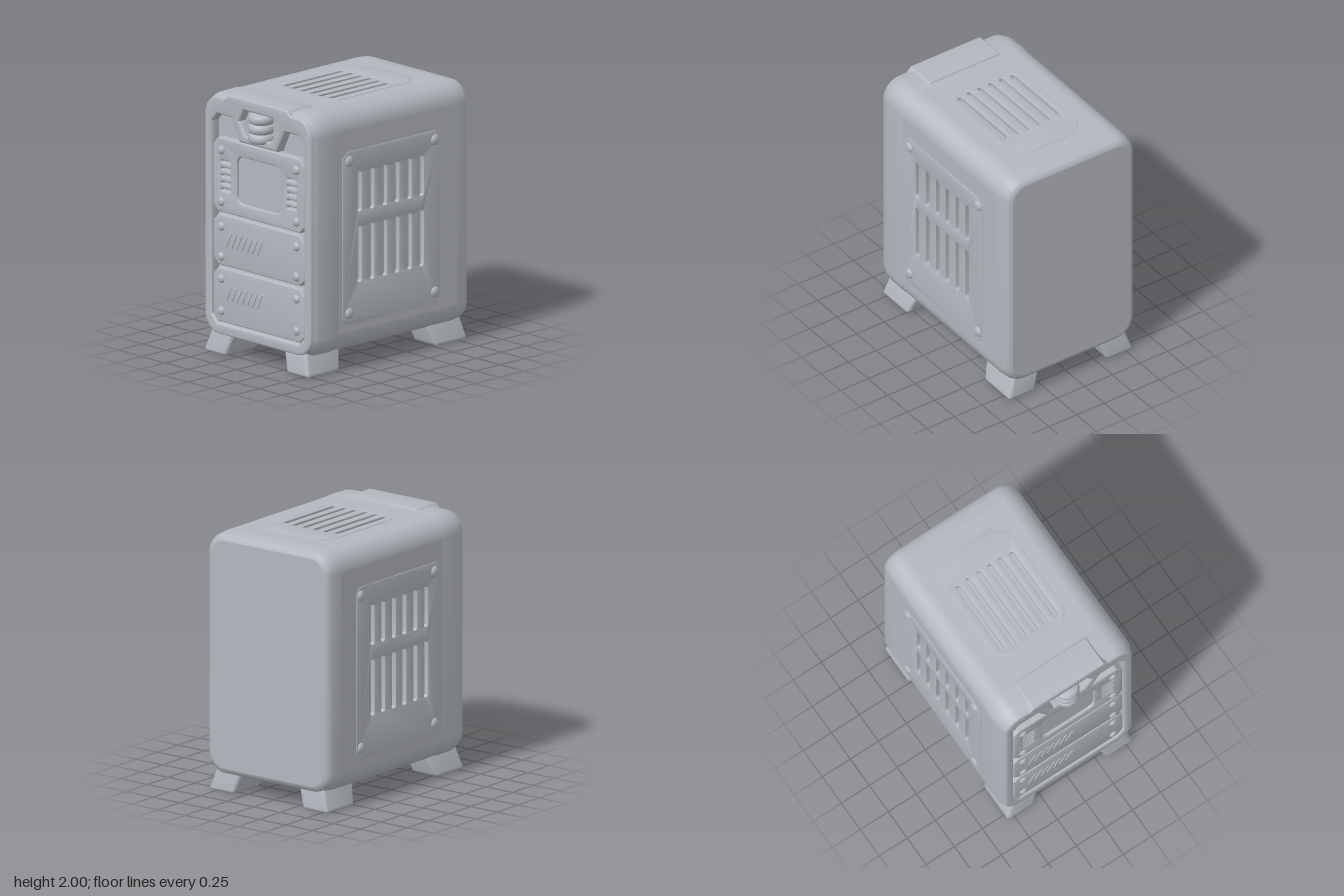
import * as THREE from 'three';
import { toCreasedNormals } from 'three/addons/utils/BufferGeometryUtils.js';
import { RoundedBoxGeometry } from 'three/addons/geometries/RoundedBoxGeometry.js';

const casing = new THREE.MeshStandardMaterial({ color: 0xb3b7be });
casing.name = 'casingGrey';

const HW = 0.585, Y0 = 0.13, Y1 = 1.985, R = 0.16;
const CY = (Y0 + Y1) / 2, HH = (Y1 - Y0) / 2;
const N = 10; // segments per body corner

// Rounded body outline, counter-clockwise, shrunk by an inset
function outline(inset) {
  const pts = [], r = R - inset * 0.6, w = HW - inset, h = HH - inset;
  [[1, 1], [-1, 1], [-1, -1], [1, -1]].forEach(([sx, sy], q) => {
    for (let i = 0; i <= N; i++) {
      const a = (q + i / N) * Math.PI / 2;
      pts.push(new THREE.Vector2(sx * (w - r) + r * Math.cos(a), CY + sy * (h - r) + r * Math.sin(a)));
    }
  });
  return pts;
}

const poly = (pts) => new THREE.Shape(pts.map(([x, y]) => new THREE.Vector2(x, y)));

// Rectangle with cut corners
function chamfered(x0, y0, x1, y1, c) {
  return poly([[x0 + c, y0], [x1 - c, y0], [x1, y0 + c], [x1, y1 - c],
    [x1 - c, y1], [x0 + c, y1], [x0, y1 - c], [x0, y0 + c]]);
}

// Rectangle with round corners; the radius defaults to a full slot end
function rounded(cx, cy, w, h, r = Math.min(w, h) / 2) {
  const s = new THREE.Shape(), a = w / 2 - r, b = h / 2 - r;
  s.absarc(cx + a, cy + b, r, 0, Math.PI / 2);
  s.absarc(cx - a, cy + b, r, Math.PI / 2, Math.PI);
  s.absarc(cx - a, cy - b, r, Math.PI, Math.PI * 1.5);
  s.absarc(cx + a, cy - b, r, Math.PI * 1.5, Math.PI * 2);
  return s;
}

// Extrusion between two depths with softened edges
function slab(shape, z0, z1, bevel = 0, holes = []) {
  shape.holes = holes;
  const g = new THREE.ExtrudeGeometry(shape, {
    depth: z1 - z0 - 2 * bevel, bevelEnabled: bevel > 0, bevelSize: bevel,
    bevelThickness: bevel, bevelOffset: -bevel, bevelSegments: 3, curveSegments: 6,
  });
  return toCreasedNormals(g.translate(0, 0, z0 + bevel), 0.6);
}

// Body skin lofted along z; flat walls of the main span are left for the vented plates
const STATIONS = [[-0.835, 0.055], [-0.827, 0.034], [-0.81, 0.018], [-0.78, 0.007], [-0.7, 0],
  [0.51, 0], [0.54, -0.005], [0.7, -0.003], [0.735, 0.006], [0.765, 0.02]];
const ZB = -0.7, ZF = 0.51;
function skin() {
  const pos = [], idx = [], rings = STATIONS.map(([, inset]) => outline(inset));
  const n = rings[0].length;
  rings.forEach((ring, i) => ring.forEach((p) => pos.push(p.x, p.y, STATIONS[i][0])));
  for (let i = 0; i < rings.length - 1; i++) {
    for (let j = 0; j < n; j++) {
      if (STATIONS[i][0] === ZB && j % (N + 1) === N) continue;
      const k = (j + 1) % n, a = i * n + j, b = i * n + k;
      idx.push(a, b, b + n, a, b + n, a + n);
    }
  }
  const g = new THREE.BufferGeometry();
  g.setAttribute('position', new THREE.Float32BufferAttribute(pos, 3));
  g.setIndex(idx);
  return toCreasedNormals(g, 0.7);
}

export function createModel() {
  const model = new THREE.Group();
  const add = (name, geo, parent = model) => {
    const m = new THREE.Mesh(geo, casing);
    m.name = name;
    parent.add(m);
    return m;
  };

  // Body
  add('bodySkin', skin());
  add('innerCore', slab(new THREE.Shape(outline(0.03)), -0.8, 0.71));
  add('backWall', new THREE.ShapeGeometry(new THREE.Shape(outline(0.055))).rotateY(Math.PI).translate(0, 0, -0.835));

  // Side walls with two rows of vents, a shallow raised panel and four bolts
  for (const s of [1, -1]) {
    const vents = () => [0.307, 0.178, 0.048, -0.076, -0.204, -0.328].flatMap((z) => [
      rounded(-s * z, 1.352, 0.048, 0.315), rounded(-s * z, 0.873, 0.048, 0.436)]);
    const xs = [-s * ZB, -s * ZF].sort((a, b) => a - b);
    const px = [s * 0.52, -s * 0.48].sort((a, b) => a - b);
    const side = new THREE.Group();
    side.name = s > 0 ? 'leftWall' : 'rightWall';
    side.rotation.y = s * Math.PI / 2;
    model.add(side);
    add('ventedWall', slab(chamfered(xs[0], Y0 + R, xs[1], Y1 - R, 0), HW - 0.035, HW, 0, vents()), side);
    add('raisedPanel', slab(chamfered(px[0], 0.35, px[1], 1.67, 0.05), HW - 0.01, HW + 0.004, 0.003, vents()), side);
    for (const z of [0.41, -0.466]) for (const y of [0.434, 1.598]) {
      const bolt = add('sideBolt', new THREE.SphereGeometry(0.042, 20, 12), side);
      bolt.position.set(-s * z, y, HW);
      bolt.scale.z = 0.55;
    }
  }

  // Top and bottom walls with long vents
  for (const s of [1, -1]) {
    const vents = () => [-0.24, -0.147, -0.05, 0.048, 0.143, 0.236].map((x, i) =>
      rounded(x, s * 0.027, 0.036, i % 5 ? 0.63 : 0.605));
    const wall = new THREE.Group();
    wall.name = s > 0 ? 'topWall' : 'bottomWall';
    wall.position.y = CY;
    wall.rotation.x = -s * Math.PI / 2;
    model.add(wall);
    const ys = [-s * ZB, -s * ZF].sort((a, b) => a - b);
    const py = [s * 0.575, -s * 0.37].sort((a, b) => a - b);
    add('ventedWall', slab(chamfered(-HW + R, ys[0], HW - R, ys[1], 0), HH - 0.035, HH, 0, vents()), wall);
    add('raisedPanel', slab(chamfered(-0.32, py[0], 0.32, py[1], 0.11), HH - 0.01, HH + 0.004, 0.003, vents()), wall);
  }

  // Front bezel with the panel bay and the six-sided badge pocket
  const bay = poly([[-0.43, 0.235], [0.43, 0.235], [0.49, 0.295], [0.49, 1.77], [0.44, 1.83], [0.28, 1.83], [0.2, 1.66],
    [-0.2, 1.66], [-0.28, 1.83], [-0.44, 1.83], [-0.49, 1.77], [-0.49, 0.295]]);
  const pocket = poly([[-0.13, 1.72], [0.13, 1.72], [0.2, 1.82], [0.16, 1.91], [-0.16, 1.91], [-0.2, 1.82]]);
  add('frontBezel', slab(new THREE.Shape(outline(0.018)), 0.69, 0.785, 0.02, [bay, pocket]));
  add('topBlock', slab(poly([[-0.37, 1.94], [0.37, 1.94], [0.31, 2], [-0.31, 2]]), 0.53, 0.787, 0.012));

  // Three-lobed knob in the pocket
  const lobes = [new THREE.Vector2(0, 1.69)];
  for (let i = 0; i <= 36; i++) {
    const t = i / 36;
    lobes.push(new THREE.Vector2(0.076 + 0.024 * Math.sqrt(Math.abs(Math.sin(3 * Math.PI * t))), 1.69 + 0.22 * t));
  }
  lobes.push(new THREE.Vector2(0, 1.91));
  add('lobedKnob', toCreasedNormals(new THREE.LatheGeometry(lobes, 32), 0.9)).position.z = 0.742;

  // Front panels: screen panel with grilles, then two drawers
  const grilles = [-0.352, 0.352].flatMap((x) => [1.475, 1.42, 1.365, 1.31, 1.258].map((y) => rounded(x, y, 0.1, 0.016)));
  const screenHole = rounded(0, 1.365, 0.47, 0.36, 0.06);
  const panels = [
    ['screenPanel', 1.085, 1.652, [1.165, 1.56], [screenHole, ...grilles]],
    ['upperDrawer', 0.68, 1.066, [0.745, 0.975], []],
    ['lowerDrawer', 0.245, 0.657, [0.33, 0.575], []],
  ];
  for (const [name, y0, y1, boltYs, holes] of panels) {
    add(name, slab(chamfered(-0.484, y0, 0.484, y1, 0.05), 0.69, 0.772, 0.012, holes));
    for (const x of [-0.4, 0.4]) for (const y of boltYs) {
      const bolt = add('panelBolt', new THREE.SphereGeometry(0.034, 20, 12));
      bolt.position.set(x, y, 0.77);
      bolt.scale.z = 0.65;
    }
  }
  add('screen', slab(rounded(0, 1.365, 0.5, 0.39, 0.06), 0.7, 0.75));

  // Slanted grip ridges on the drawers
  for (const y of [0.885, 0.475]) for (let i = 0; i < 7; i++) {
    const x = -0.32 + i * 0.055;
    add('gripRidge', slab(poly([[x - 0.035, y - 0.055], [x - 0.013, y - 0.055], [x + 0.035, y + 0.055], [x + 0.013, y + 0.055]]),
      0.765, 0.779, 0.004));
  }

  // Splayed feet
  for (const sx of [1, -1]) for (const front of [true, false]) {
    const g = new RoundedBoxGeometry(0.236, 0.2, 1, 4, 0.025);
    const p = g.attributes.position;
    for (let i = 0; i < p.count; i++) {
      const y = p.getY(i) + 0.1, t = y / 0.15;
      // Undo the long box core so that only the rounded ends keep their depth
      const half = 0.162 + 0.012 * t, z = p.getZ(i);
      const zc = Math.sign(z) * (half - (0.5 - Math.abs(z)));
      const mid = front ? 0.642 - 0.037 * t : -0.668 + 0.033 * t;
      p.setXYZ(i, p.getX(i) + sx * (0.444 - 0.05 * t), y, mid + zc);
    }
    g.computeVertexNormals();
    add(front ? 'frontFoot' : 'backFoot', toCreasedNormals(g, 0.7));
  }

  return model;
}
